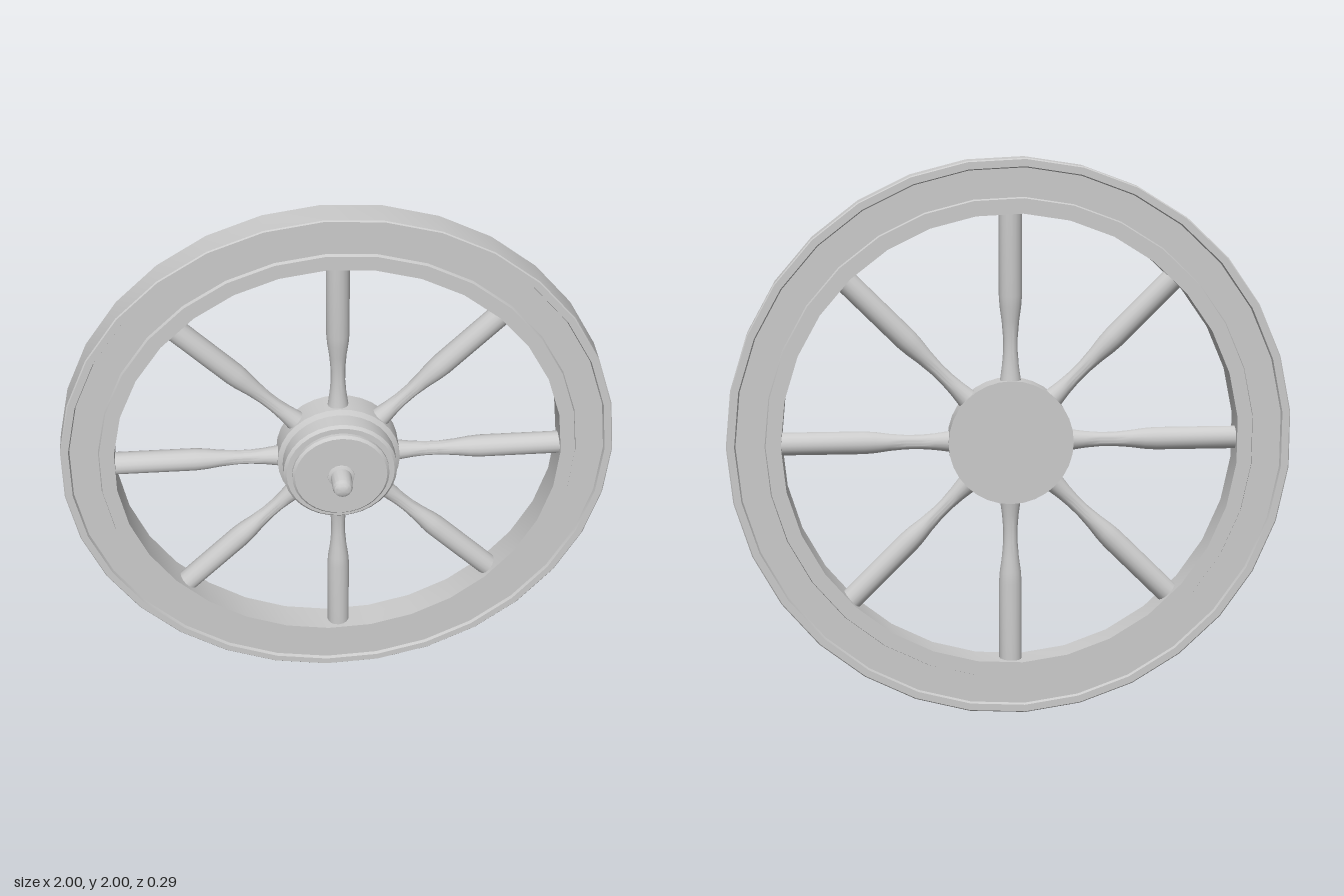
import * as THREE from 'three';
import { toCreasedNormals } from 'three/addons/utils/BufferGeometryUtils.js';

const material = new THREE.MeshStandardMaterial({ color: 0xcccccc });
const RIM_Z = -0.088; // middle plane of rim and spokes

// Turned part: [radius, height] pairs, with hard edges kept sharp
function turned(name, profile, segments) {
  const points = profile.map(([r, h]) => new THREE.Vector2(r, h));
  const geometry = new THREE.LatheGeometry(points, segments, Math.PI / 2);
  const mesh = new THREE.Mesh(toCreasedNormals(geometry, 0.5), material);
  mesh.name = name;
  return mesh;
}

export function createModel() {
  const wheel = new THREE.Group();
  wheel.name = 'wheel';

  // Rim with a shallow recessed panel on both faces
  const half = 0.056, recess = 0.012;
  const face = [[1.001, half - 0.004], [0.997, half], [0.972, half],
    [0.968, half - recess], [0.867, half - recess], [0.863, half], [0.81, half]];
  const back = face.map(([r, h]) => [r, -h]).reverse();
  const rim = turned('rim', [...back, ...face, back[0]], 31);
  rim.rotation.x = Math.PI / 2;
  rim.position.z = RIM_Z;
  wheel.add(rim);

  // Stepped hub, closed at the back
  const hub = turned('hub', [
    [0, -0.135], [0.222, -0.135], [0.222, -0.045], [0.205, -0.034],
    [0.205, 0.024], [0.195, 0.034], [0.175, 0.034], [0.175, 0.046],
    [0.166, 0.055], [0, 0.055],
  ], 32);
  hub.rotation.x = Math.PI / 2;
  wheel.add(hub);

  // Axle pin with a small collar and a rounded tip
  const pin = turned('axlePin', [
    [0.05, 0.05], [0.048, 0.058], [0.038, 0.062], [0.036, 0.122],
    [0.031, 0.135], [0.02, 0.142], [0, 0.144],
  ], 16);
  pin.rotation.x = Math.PI / 2;
  wheel.add(pin);

  // Eight turned spokes
  const spokeProfile = [[0.042, 0.19], [0.037, 0.22], [0.03, 0.27], [0.026, 0.32],
    [0.026, 0.37], [0.031, 0.43], [0.038, 0.48], [0.041, 0.52], [0.041, 0.83]];
  for (let i = 0; i < 8; i++) {
    const spoke = turned('spoke', spokeProfile, 16);
    const pivot = new THREE.Group();
    pivot.name = `spoke${i + 1}`;
    pivot.add(spoke);
    pivot.rotation.z = (i * Math.PI) / 4;
    pivot.position.z = RIM_Z;
    wheel.add(pivot);
  }

  wheel.position.set(-0.002, 1, 0);
  const model = new THREE.Group();
  model.add(wheel);
  return model;
}
